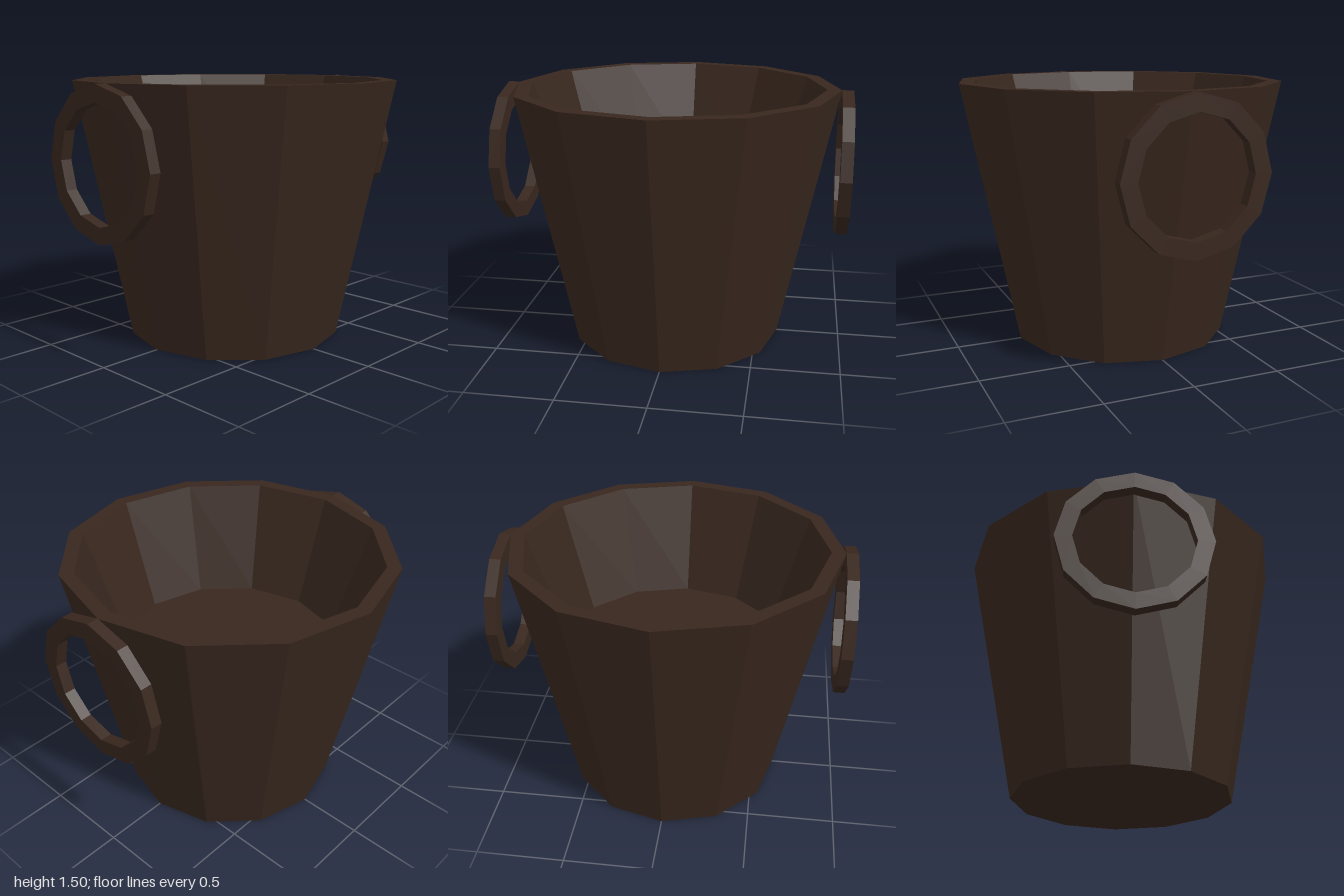
import * as THREE from 'three';

const SIDES = 12;

// Faceted solid of revolution from [radius, height] pairs
function facetedLathe(profile, material, name) {
  const points = profile.map(([r, y]) => new THREE.Vector2(r, y));
  const mesh = new THREE.Mesh(new THREE.LatheGeometry(points, SIDES), material);
  mesh.name = name;
  return mesh;
}

export function createModel() {
  const model = new THREE.Group();
  model.name = 'bucket';
  const brown = new THREE.MeshStandardMaterial({ color: 0x38271e, flatShading: true });

  // Tapered body: underside, outer wall, flat rim, sloping inner wall, raised floor
  model.add(facetedLathe(
    [[0, 0], [0.627, 0], [0.935, 1.5], [0.855, 1.5], [0.65, 0.865], [0, 0.865]],
    brown, 'body'));

  // Upright ring handle on the front and back
  const inner = 0.322, outer = 0.416, half = 0.0325;
  for (const side of [1, -1]) {
    const ring = facetedLathe(
      [[inner, -half], [outer, -half], [outer, half], [inner, half], [inner, -half]],
      brown, side > 0 ? 'frontHandle' : 'backHandle');
    ring.rotation.x = Math.PI / 2;
    ring.position.set(0, 1.085, side * (1 - half));
    model.add(ring);
  }
  return model;
}
